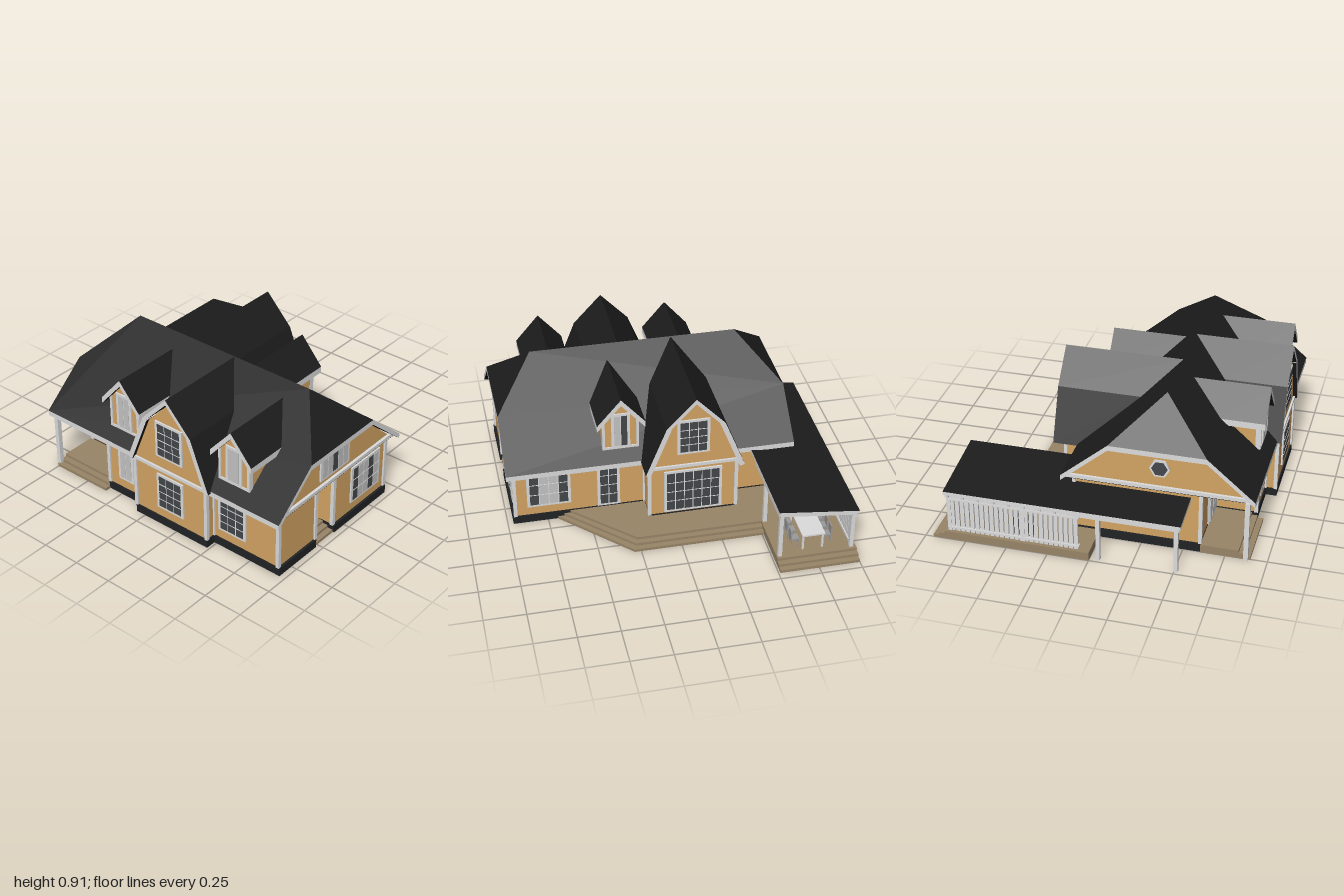
import * as THREE from 'three';

const mat = (name, color) => {
  const m = new THREE.MeshStandardMaterial({ color });
  m.name = name;
  return m;
};

export function createModel() {
  const wood = mat('wood siding', 0xd3a463), roof = mat('roof shingle', 0x1c1c1c);
  const trim = mat('white trim', 0xdcdcdc), deckMat = mat('deck boards', 0x998568);
  const base = mat('foundation', 0x202225), under = mat('underside grey', 0xbcbcbc);
  const glass = mat('dark glass', 0x44474a), curtain = mat('curtain', 0xc4c4c4);
  const black = mat('grill black', 0x141414), stone = mat('figure grey', 0x9a9a9a);
  const model = new THREE.Group();
  model.name = 'house';

  const add = (parent, name, geo, material) => {
    const m = new THREE.Mesh(geo, material);
    m.name = name;
    parent.add(m);
    return m;
  };
  const group = (parent, name, x, y, z, ry = 0) => {
    const g = new THREE.Group();
    g.name = name;
    g.position.set(x, y, z);
    g.rotation.y = ry;
    parent.add(g);
    return g;
  };
  // box given by its min and max on each axis
  const box = (parent, name, material, x0, x1, y0, y1, z0, z1) => {
    const m = add(parent, name, new THREE.BoxGeometry(x1 - x0, y1 - y0, z1 - z0), material);
    m.position.set((x0 + x1) / 2, (y0 + y1) / 2, (z0 + z1) / 2);
    return m;
  };
  const extrude = (pts, depth) => new THREE.ExtrudeGeometry(
    new THREE.Shape(pts.map(p => new THREE.Vector2(p[0], p[1]))), { depth, bevelEnabled: false });
  // plan outline [x, z] raised from y0 to y1
  const plan = (parent, name, material, pts, y0, y1) => {
    const g = extrude(pts.map(([x, z]) => [x, -z]), y1 - y0);
    g.rotateX(-Math.PI / 2).translate(0, y0, 0);
    return add(parent, name, g, material);
  };
  // sloping roof panel: dark top, pale edge
  const slab = (parent, name, points, drop = [0, -0.033, 0], bottom = roof) => {
    const p = points.map(a => new THREE.Vector3(...a));
    const n = p[1].clone().sub(p[0]).cross(p[2].clone().sub(p[0]));
    if (n.y < 0) p.reverse();
    const q = p.map(v => v.clone().add(new THREE.Vector3(...drop)));
    const out = [], tri = (a, b, c) => out.push(...a.toArray(), ...b.toArray(), ...c.toArray());
    const N = p.length;
    for (let i = 1; i < N - 1; i++) tri(p[0], p[i], p[i + 1]);
    for (let i = 1; i < N - 1; i++) tri(q[0], q[i + 1], q[i]);
    for (let i = 0; i < N; i++) {
      const j = (i + 1) % N;
      tri(p[i], q[i], q[j]);
      tri(p[i], q[j], p[j]);
    }
    const g = new THREE.BufferGeometry();
    g.setAttribute('position', new THREE.Float32BufferAttribute(out, 3));
    const c = (N - 2) * 3;
    g.addGroup(0, c, 0);
    g.addGroup(c, c, 1);
    g.addGroup(2 * c, N * 6, 2);
    g.computeVertexNormals();
    return add(parent, name, g, [roof, bottom, trim]);
  };
  // window facing local +z; columns string: D = dark pane, L = curtained pane
  const win = (parent, name, x, y, z, ry, w, h, cols, rows) => {
    const g = group(parent, name, x, y, z, ry);
    box(g, 'frame', trim, -w / 2, w / 2, -h / 2, h / 2, -0.01, 0.01);
    const iw = w - 0.03, ih = h - 0.03, cw = iw / cols.length;
    [...cols].forEach((c, i) => {
      const x0 = -iw / 2 + i * cw;
      box(g, 'pane', c === 'D' ? glass : curtain, x0 + 0.003, x0 + cw - 0.003, -ih / 2, ih / 2, 0.009, 0.012);
    });
    for (let r = 1; r < rows; r++) {
      const yy = -ih / 2 + r * ih / rows;
      box(g, 'glazing bar', trim, -iw / 2, iw / 2, yy - 0.002, yy + 0.002, 0.009, 0.014);
    }
  };

  // walls and foundation
  const outline = [[-0.74, -0.155], [-0.395, -0.155], [-0.395, -0.31], [0.145, -0.31], [0.145, -0.155],
    [0.95, -0.155], [0.95, 0.35], [0.81, 0.35], [0.81, 0.52], [0.95, 0.52], [0.95, 0.855], [0.48, 0.855],
    [0.48, 0.92], [-0.06, 0.92], [-0.06, 0.855], [-0.34, 0.855], [-0.34, 0.6], [-0.74, 0.6]];
  const grown = outline.map(([x, z]) => [0.1 + (x - 0.1) * 1.018, 0.35 + (z - 0.35) * 1.015]);
  plan(model, 'walls', wood, outline, 0.05, 0.4);
  plan(model, 'foundation', base, grown, 0.003, 0.055);
  plan(model, 'foundationUnderside', under, grown, 0, 0.003);
  outline.forEach(([x, z]) => {
    if (x !== 0.81) box(model, 'cornerBoard', trim, x - 0.011, x + 0.011, 0.055, 0.39, z - 0.011, z + 0.011);
  });
  box(model, 'eaveBand', trim, -0.757, 0.967, 0.39, 0.412, -0.22, 0.91);
  box(model, 'eaveSoffit', roof, -0.755, 0.965, 0.386, 0.39, -0.218, 0.908);
  const gable = extrude([[0.88, 0.4], [0.62, 0.635], [0.07, 0.635], [-0.19, 0.4]].map(([z, y]) => [-z, y]), 1.69);
  gable.rotateY(Math.PI / 2).translate(-0.74, 0, 0);
  add(model, 'gableWalls', gable, wood);

  // main roof with clipped gable ends
  const zr = 0.345;
  [1, -1].forEach(s => slab(model, 'mainRoofSlope', [[-0.78, 0.41, zr + s * 0.575], [1, 0.41, zr + s * 0.575],
    [1, 0.655, zr + s * 0.29], [0.755, 0.91, zr], [-0.53, 0.91, zr], [-0.78, 0.655, zr + s * 0.29]]));
  [[1, 0.755], [-0.78, -0.53]].forEach(([xe, xr]) => slab(model, 'roofHip',
    [[xe, 0.655, zr + 0.29], [xe, 0.655, zr - 0.29], [xr, 0.91, zr]]));

  // large double-pitched gables, local z measured from the ridge
  const bigGable = (cx, ry, dr, dw) => {
    const g = group(model, 'largeGable', cx, 0, zr, ry);
    add(g, 'gableWall', extrude([[-0.27, 0.4], [0.27, 0.4], [0.165, 0.69], [0, 0.865], [-0.165, 0.69]], dw), wood);
    [1, -1].forEach(s => {
      slab(g, 'upperSlope', [[0, 0.908, dr], [0, 0.908, 0], [s * 0.178, 0.72, 0.215], [s * 0.178, 0.72, dr]]);
      slab(g, 'lowerSlope', [[s * 0.178, 0.72, dr], [s * 0.178, 0.72, 0.215], [s * 0.305, 0.4, 0.575],
        [s * 0.305, 0.4, dr]], [-s * 0.03, -0.008, 0]);
    });
    box(g, 'gableBand', trim, -0.285, 0.285, 0.388, 0.408, 0.3, dw + 0.012);
    win(g, 'gableWindow', 0, 0.605, dw, 0, 0.2, 0.24, 'DDD', 4);
  };
  bigGable(0.21, 0, 0.6, 0.575);
  bigGable(-0.125, Math.PI, 0.725, 0.655);

  // small dormers
  const dormer = (cx, ry, cols) => {
    const g = group(model, 'dormer', cx, 0, zr, ry);
    add(g, 'dormerWall', extrude([[-0.11, 0.46], [0.11, 0.46], [0.11, 0.69], [0, 0.8], [-0.11, 0.69]], 0.505), wood);
    [1, -1].forEach(s => {
      slab(g, 'dormerRoof', [[0, 0.84, 0.54], [0, 0.84, 0.07], [s * 0.147, 0.67, 0.26], [s * 0.147, 0.67, 0.54]],
        [0, -0.04, 0]);
      box(g, 'dormerCorner', trim, s * 0.104 - 0.008, s * 0.104 + 0.008, 0.48, 0.69, 0.48, 0.512);
    });
    box(g, 'dormerSill', trim, -0.112, 0.112, 0.475, 0.49, 0.49, 0.512);
    win(g, 'dormerWindow', 0, 0.605, 0.505, 0, 0.115, 0.24, cols, 1);
  };
  dormer(-0.2, 0, 'LL');
  dormer(0.63, 0, 'L');
  dormer(0.29, Math.PI, 'LD');

  // windows on every side
  const H = Math.PI / 2;
  win(model, 'frontWindow', 0.21, 0.24, 0.92, 0, 0.2, 0.24, 'DDD', 4);
  win(model, 'frontWindow', 0.62, 0.24, 0.855, 0, 0.2, 0.24, 'DDD', 4);
  win(model, 'narrowWindow', -0.2, 0.24, 0.855, 0, 0.12, 0.24, 'LL', 1);
  win(model, 'sideWindow', 0.95, 0.24, 0.045, H, 0.28, 0.25, 'DLLDL', 3);
  win(model, 'sideGableWindow', 0.95, 0.53, 0.355, H, 0.27, 0.18, 'LLDLL', 1);
  win(model, 'leftWindow', -0.74, 0.23, 0.25, -H, 0.2, 0.22, 'DDD', 3);
  win(model, 'backWindow', 0.74, 0.24, -0.155, Math.PI, 0.27, 0.25, 'DLLD', 3);
  win(model, 'bayWindow', -0.125, 0.215, -0.31, Math.PI, 0.36, 0.3, 'DDDDDD', 4);
  win(model, 'backDoor', 0.37, 0.215, -0.155, Math.PI, 0.14, 0.31, 'DD', 4);
  win(model, 'sideDoor', 0.81, 0.215, 0.435, H, 0.14, 0.31, 'DD', 4);
  // six-sided window in the left gable
  [[0.062, 0.02, trim], [0.048, 0.026, glass]].forEach(([r, d, m]) => {
    const w = add(model, 'leftGableWindow', new THREE.CylinderGeometry(r, r, d, 6), m);
    w.position.set(-0.74, 0.53, 0.355);
    w.rotation.z = H;
  });

  // front door with side light
  const door = group(model, 'frontDoor', -0.45, 0.21, 0.605);
  box(door, 'frame', curtain, -0.1, 0.1, -0.15, 0.15, -0.01, 0.01);
  box(door, 'sideLight', trim, -0.09, -0.035, -0.14, 0.14, 0.009, 0.013);
  for (let i = 0; i < 4; i++)
    box(door, 'panel', trim, -0.025, 0.09, -0.14 + i * 0.071, -0.073 + i * 0.071, 0.009, 0.013);

  // back deck, front porch and side steps as stacked treads
  for (let k = 0; k < 3; k++) {
    const e = 0.035 * k, y1 = 0.052 - 0.017 * k, y0 = k === 2 ? 0 : y1 - 0.017;
    plan(model, 'backDeck', deckMat, [[-1, 0], [-1, -0.88 - e], [-0.51, -0.88 - e], [-0.51, -0.51 - e],
      [0.26 + 0.43 * e, -0.51 - e], [0.62 + 1.1 * e, -0.155], [-0.74, -0.155], [-0.74, 0]], y0, y1);
    box(model, 'porchTread', deckMat, -0.755, -0.345, y0, y1, 0.6, 0.83 + e);
    box(model, 'sideTread', deckMat, 0.81, 0.885 + e, y0, y1, 0.352, 0.518);
  }
  box(model, 'porchPost', trim, -0.77, -0.742, 0, 0.39, 0.86, 0.888);

  // lean-to roof, posts and rafters
  slab(model, 'leanToRoof', [[-1, 0.328, 0.54], [-0.51, 0.388, 0.54], [-0.51, 0.388, -0.875], [-1, 0.328, -0.875]],
    [0, -0.022, 0], trim);
  [[-0.97, -0.85], [-0.97, -0.4], [-0.97, 0.05], [-0.97, 0.51], [-0.53, -0.85], [-0.53, -0.51]].forEach(([x, z]) =>
    box(model, 'leanToPost', trim, x - 0.012, x + 0.012, 0, x < -0.9 ? 0.315 : 0.37, z - 0.012, z + 0.012));
  box(model, 'outerBeam', trim, -0.985, -0.96, 0.28, 0.315, -0.87, 0.53);
  box(model, 'innerBeam', trim, -0.54, -0.52, 0.325, 0.365, -0.87, -0.3);
  for (let i = 0; i < 8; i++) {
    const r = box(model, 'rafter', trim, -0.24, 0.24, -0.015, 0.015, -0.007, 0.007);
    r.position.set(-0.757, 0.33, -0.85 + i * 0.093);
    r.rotation.z = Math.atan2(0.06, 0.49);
  }
  // slatted screen along the deck
  for (let i = 0; i < 26; i++) {
    const z = -0.83 + i * 0.03;
    box(model, 'screenSlat', trim, -0.978, -0.968, 0.052, 0.27, z - 0.012, z + 0.012);
  }
  [0.07, 0.265].forEach(y => box(model, 'screenRail', trim, -0.985, -0.962, y, y + 0.012, -0.85, -0.06));

  // outdoor table, chairs and grill
  box(model, 'tableTop', trim, -0.81, -0.67, 0.155, 0.165, -0.84, -0.54);
  [-0.8, -0.68].forEach(x => [-0.82, -0.56].forEach(z =>
    box(model, 'tableLeg', trim, x - 0.006, x + 0.006, 0.05, 0.155, z - 0.006, z + 0.006)));
  [-1, 1].forEach(s => [-0.77, -0.69, -0.61].forEach(z => {
    const c = group(model, 'chair', -0.74 + s * 0.1, 0.05, z);
    box(c, 'seat', stone, -0.025, 0.025, 0.055, 0.063, -0.025, 0.025);
    box(c, 'chairBack', stone, s * 0.024 - 0.004, s * 0.024 + 0.004, 0.06, 0.125, -0.025, 0.025);
    [-0.02, 0.02].forEach(x => [-0.02, 0.02].forEach(w =>
      box(c, 'chairLeg', stone, x - 0.003, x + 0.003, 0, 0.055, w - 0.003, w + 0.003)));
  }));
  box(model, 'grill', black, -0.96, -0.88, 0.052, 0.16, -0.47, -0.34);
  box(model, 'grillHood', black, -0.96, -0.92, 0.16, 0.2, -0.46, -0.35);

  // two standing garden figures
  const figure = (x, z, h) => {
    const f = group(model, 'gardenFigure', x, 0.052, z);
    f.scale.setScalar(h);
    const body = [[0, 0.45], [0.08, 0.47], [0.07, 0.6], [0.1, 0.78], [0.03, 0.83], [0.03, 0.86], [0.065, 0.93], [0, 1]];
    add(f, 'body', new THREE.LatheGeometry(body.map(p => new THREE.Vector2(...p)), 10), stone);
    [-1, 1].forEach(s => {
      add(f, 'leg', new THREE.CylinderGeometry(0.045, 0.03, 0.5, 8), stone).position.set(s * 0.05, 0.25, 0);
      const arm = add(f, 'arm', new THREE.CylinderGeometry(0.025, 0.02, 0.36, 6), stone);
      arm.position.set(s * 0.13, 0.6, 0);
      arm.rotation.z = s * 0.2;
    });
  };
  figure(-0.83, -0.48, 0.21);
  figure(-0.87, -0.3, 0.15);
  return model;
}
